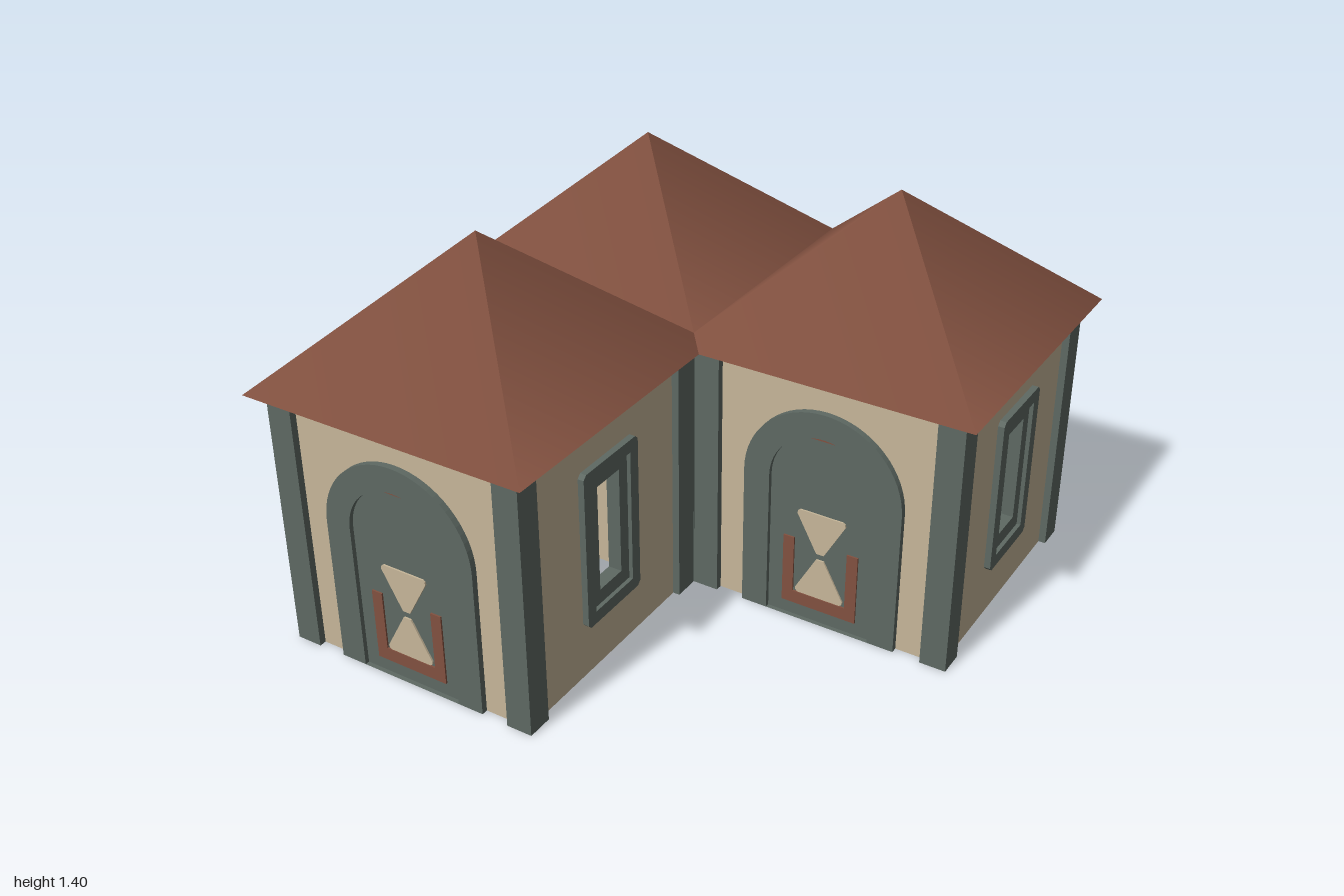
import * as THREE from 'three';

const C = 0.476;      // distance of each room's centre from the axes
const H = 0.93;       // wall height
const mat = (name, color, side = THREE.FrontSide) => {
  const m = new THREE.MeshStandardMaterial({ color, side });
  m.name = name;
  return m;
};

const plaster = mat('plaster', 0xc6b699);
const slate = mat('slate', 0x5e6963);
const brown = mat('brown', 0x825140);

function add(parent, name, geometry, material) {
  const mesh = new THREE.Mesh(geometry, material);
  mesh.name = name;
  parent.add(mesh);
  return mesh;
}

// Flat outline pushed from z0 to z1
function slab(shape, z0, z1) {
  const g = new THREE.ExtrudeGeometry(shape, { depth: z1 - z0, bevelEnabled: false, curveSegments: 16 });
  return g.translate(0, 0, z0);
}

function polygon(points) {
  return new THREE.Shape(points.map(([x, y]) => new THREE.Vector2(x, y)));
}

// Upright arch: straight sides, half-round top
function arch(r, spring, Type = THREE.Shape) {
  const s = new Type();
  s.moveTo(-r, 0);
  s.lineTo(r, 0);
  s.lineTo(r, spring);
  s.absarc(0, spring, r, 0, Math.PI, false);
  s.lineTo(-r, 0);
  return s;
}

// Rectangle centred on (0, cy) with clipped corners
function rect(w, h, cy, c = 0) {
  const x = w / 2, y = h / 2;
  if (!c) return polygon([[-x, cy - y], [x, cy - y], [x, cy + y], [-x, cy + y]]);
  return polygon([[-x + c, cy - y], [x - c, cy - y], [x, cy - y + c], [x, cy + y - c],
    [x - c, cy + y], [-x + c, cy + y], [-x, cy + y - c], [-x, cy - y + c]]);
}

function withHole(outer, hole) {
  outer.holes.push(hole);
  return outer;
}

function wallSide(name, holed) {
  const g = new THREE.Group();
  g.name = name;
  const shape = rect(0.9, H, H / 2);
  if (holed) shape.holes.push(rect(0.2, 0.46, 0.477));
  add(g, 'wall', slab(shape, 0.42, 0.45), plaster);
  return g;
}

// Arched doorway with an hourglass panel and a U-shaped band
function doorWall() {
  const g = wallSide('frontWall', false);
  add(g, 'doorFrame', slab(withHole(arch(0.285, 0.525), arch(0.191, 0.529)), 0.4, 0.472), slate);
  add(g, 'door', slab(arch(0.192, 0.529), 0.41, 0.456), slate);
  add(g, 'doorBand', slab(polygon([[-0.137, 0.05], [0.137, 0.05], [0.137, 0.31], [0.097, 0.31],
    [0.097, 0.097], [-0.097, 0.097], [-0.097, 0.31], [-0.137, 0.31]]), 0.404, 0.462), brown);
  for (const s of [-1, 1]) {
    const tri = [[-0.014, 0.012], [0.014, 0.012], [0.088, 0.148], [0.086, 0.158], [0.078, 0.164],
      [-0.078, 0.164], [-0.086, 0.158], [-0.088, 0.148]].map(([x, y]) => [x, 0.264 + s * y]);
    add(g, 'hourglassHalf', slab(polygon(tri), 0.404, 0.462), plaster);
  }
  const crest = new THREE.Shape();
  crest.absarc(0, 0.529, 0.19, Math.PI * 0.39, Math.PI * 0.61, false);
  add(g, 'doorCrest', slab(crest, 0.404, 0.462), brown);
  return g;
}

// Open window with a stepped double frame
function windowWall() {
  const g = wallSide('windowWall', true);
  g.rotation.y = Math.PI / 2;
  add(g, 'outerFrame', slab(withHole(rect(0.296, 0.57, 0.477, 0.014), rect(0.21, 0.48, 0.477)), 0.4, 0.472), slate);
  add(g, 'innerFrame', slab(withHole(rect(0.212, 0.482, 0.477), rect(0.12, 0.385, 0.482)), 0.41, 0.458), slate);
  return g;
}

function room(x, z) {
  const g = new THREE.Group();
  g.name = 'room';
  g.position.set(x, 0, z);
  g.add(doorWall(), windowWall());

  // Plain walls on the two remaining sides
  const back = wallSide('backWall', false);
  back.rotation.y = Math.PI;
  const side = wallSide('sideWall', false);
  side.rotation.y = -Math.PI / 2;
  g.add(back, side);

  // Corner posts
  for (const sx of [-1, 1]) for (const sz of [-1, 1]) {
    const post = add(g, 'cornerPost', new THREE.BoxGeometry(0.092, H, 0.092), slate);
    post.position.set(sx * 0.429, H / 2, sz * 0.429);
  }

  // Four-sided roof
  const roof = add(g, 'roof', new THREE.ConeGeometry((1 - C) * Math.SQRT2, 0.47, 4), brown);
  roof.rotation.y = Math.PI / 4;
  roof.position.y = H + 0.235;
  return g;
}

export function createModel() {
  const model = new THREE.Group();
  model.name = 'house';
  for (const [x, z] of [[-C, -C], [C, -C], [-C, C]]) model.add(room(x, z));
  return model;
}
